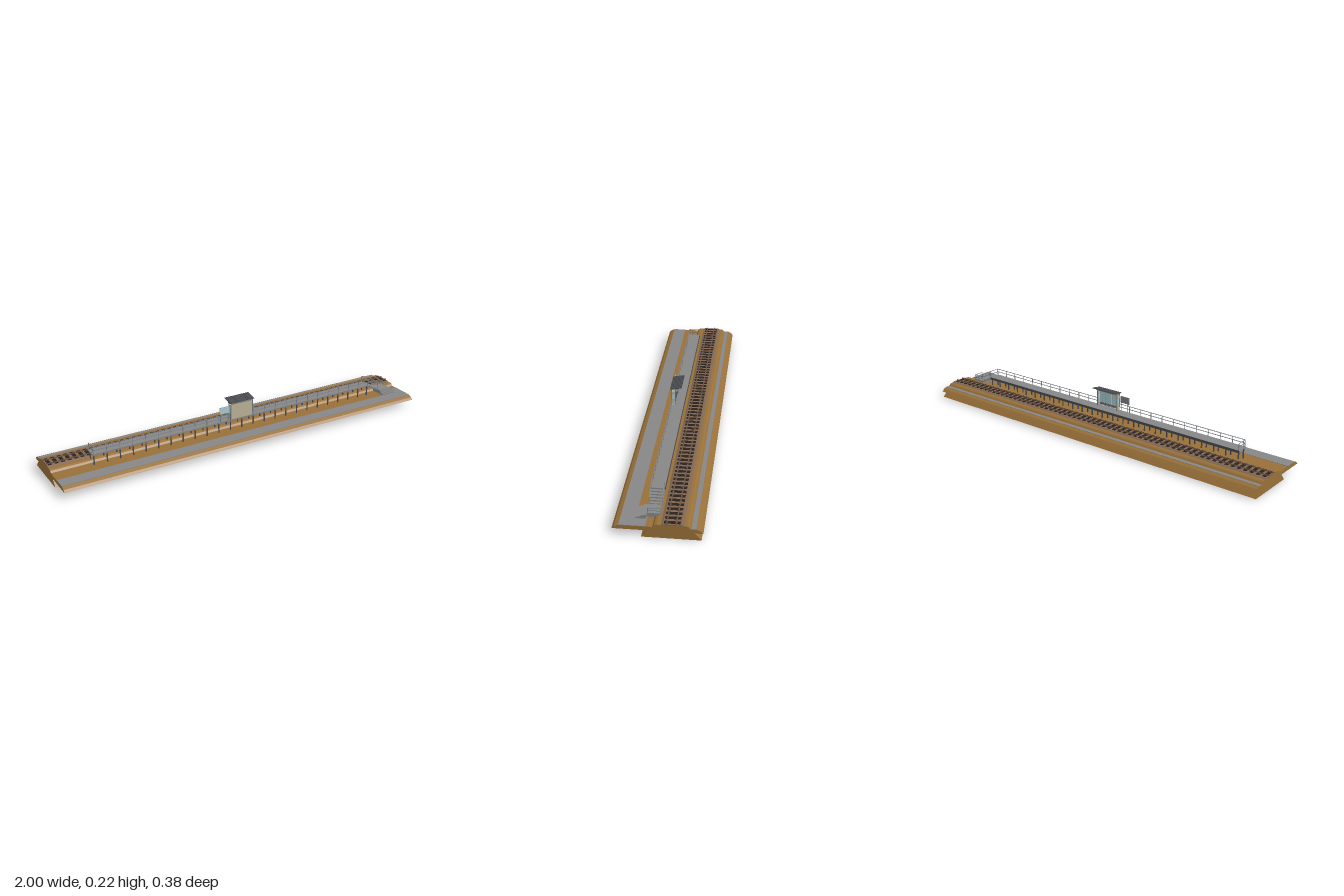
import * as THREE from 'three';
import { mergeGeometries } from 'three/addons/utils/BufferGeometryUtils.js';

const mat = (name, color, side = THREE.FrontSide) => {
  const m = new THREE.MeshStandardMaterial({ color, side });
  m.name = name;
  return m;
};

// Box given by its min/max on each axis
const box = (x0, x1, y0, y1, z0, z1) =>
  new THREE.BoxGeometry(x1 - x0, y1 - y0, z1 - z0)
    .translate((x0 + x1) / 2, (y0 + y1) / 2, (z0 + z1) / 2);

// Square bar between two points
function bar(a, b, t) {
  const p = new THREE.Vector3(...a), q = new THREE.Vector3(...b);
  const d = q.clone().sub(p);
  const g = new THREE.BoxGeometry(t, d.length(), t);
  g.applyQuaternion(new THREE.Quaternion().setFromUnitVectors(new THREE.Vector3(0, 1, 0), d.normalize()));
  return g.translate((p.x + q.x) / 2, (p.y + q.y) / 2, (p.z + q.z) / 2);
}

// Cross-section of [z, y] points drawn out along x
function section(points, length) {
  const s = new THREE.Shape(points.map(([z, y]) => new THREE.Vector2(z, y)));
  return new THREE.ExtrudeGeometry(s, { depth: length, bevelEnabled: false })
    .translate(0, 0, -length / 2).rotateY(-Math.PI / 2);
}

export function createModel() {
  const model = new THREE.Group();
  model.name = 'railwayHalt';
  const earth = mat('earth', 0x987039);
  const paving = mat('paving', 0x868686);
  const ballast = mat('ballast', 0x80664f);
  const timber = mat('sleeperTimber', 0x2b211c);
  const rust = mat('railSteel', 0x6b5546);
  const steel = mat('galvanisedSteel', 0x7c8288);
  const dark = mat('darkMetal', 0x4a4c50);
  const glass = mat('paleBluePanel', 0xa8cad0);
  const beige = mat('beigePanel', 0xbab094);

  const add = (name, geos, material) => {
    const list = [].concat(geos).map(g => g.index ? g.toNonIndexed() : g);
    const mesh = new THREE.Mesh(list.length > 1 ? mergeGeometries(list) : list[0], material);
    mesh.name = name;
    model.add(mesh);
  };

  // Embankment with shoulders and a narrower foot
  add('embankment', section([
    [0.069, 0], [0.04, 0.034], [0.193, 0.034], [0.183, 0.045], [0.165, 0.053], [0.021, 0.053],
    [0.014, 0.062], [0.004, 0.066], [-0.126, 0.066], [-0.133, 0.062], [-0.14, 0.053],
    [-0.165, 0.053], [-0.181, 0.046], [-0.192, 0.034], [-0.155, 0.034], [-0.185, 0],
  ], 2), earth);

  // Road, rear path and the pad by the steps
  add('road', box(-1, 1, 0.051, 0.0545, 0.098, 0.164), paving);
  add('rearPath', box(-1, 1, 0.051, 0.0545, -0.163, -0.142), paving);
  add('stepPad', box(0.865, 1, 0.051, 0.0545, 0.05, 0.098), paving);

  // Track
  add('ballastBed', section([[-0.013, 0.065], [-0.024, 0.07], [-0.104, 0.07], [-0.115, 0.065]], 2), ballast);
  const sleepers = [], rails = [];
  const n = 62;
  for (let i = 0; i < n; i++) {
    const x = -1 + (i + 0.5) * 2 / n;
    sleepers.push(box(x - 0.0085, x + 0.0085, 0.066, 0.0715, -0.096, -0.027));
  }
  for (const z of [-0.039, -0.079]) {
    rails.push(box(-1, 1, 0.0715, 0.0725, z - 0.003, z + 0.003));
    rails.push(box(-1, 1, 0.0725, 0.0755, z - 0.0012, z + 0.0012));
  }
  add('sleepers', sleepers, timber);
  add('rails', rails, rust);

  // Raised deck on steel legs
  add('platformDeck', box(-0.805, 0.8, 0.107, 0.112, -0.007, 0.053), paving);
  const legs = [], beams = [];
  const bays = 24, pitch = 1.6 / bays;
  for (let i = 0; i <= bays; i++) {
    const x = -0.8 + i * pitch + (i === bays ? -0.003 : 0.003);
    legs.push(bar([x, 0.05, 0.046], [x, 0.107, 0.046], 0.005));
    legs.push(bar([x, 0.05, 0.002], [x, 0.107, 0.002], 0.005));
    beams.push(box(x - 0.002, x + 0.002, 0.102, 0.107, -0.004, 0.05));
  }
  for (const z of [0.046, 0.002]) beams.push(box(-0.803, 0.8, 0.103, 0.107, z - 0.002, z + 0.002));
  add('platformLegs', legs, dark);
  add('deckBeams', beams, steel);
  add('edgeStrip', box(-0.805, 0.8, 0.1, 0.1125, -0.009, -0.007), dark);

  // Railing along the outer edge and across the closed end
  const railing = [], T = 0.0024, zr = 0.051;
  for (let i = 0; i <= bays; i++) {
    const x = -0.8 + i * pitch;
    railing.push(bar([x, 0.1, zr], [x, 0.147, zr], T));
  }
  for (const y of [0.13, 0.146]) {
    railing.push(bar([-0.8, y, zr], [0.8, y, zr], T));
    railing.push(bar([-0.8, y, -0.004], [-0.8, y, zr], T));
  }
  for (const z of [-0.004, 0.035]) railing.push(bar([-0.8, 0.11, z], [-0.8, 0.147, z], T));

  // Handrails down the stairs and round the landing
  for (const z of [zr, -0.004]) {
    for (const dy of [0, -0.016]) railing.push(bar([0.8, 0.146 + dy, z], [0.87, 0.113 + dy, z], T));
    railing.push(bar([0.8, 0.108, z], [0.8, 0.147, z], T));
    railing.push(bar([0.87, 0.072, z], [0.87, 0.113, z], T));
  }
  for (const y of [0.085, 0.097]) {
    railing.push(bar([0.87, y, -0.004], [0.93, y, -0.004], T));
    railing.push(bar([0.93, y, -0.004], [0.93, y, 0.05], T));
  }
  for (const [x, z] of [[0.9, -0.004], [0.93, -0.004], [0.93, 0.05]])
    railing.push(bar([x, 0.07, z], [x, 0.098, z], T));
  add('railings', railing, steel);

  // Stairs down from the deck, landing, and steps to the road
  const stairs = [];
  for (let i = 0; i < 5; i++) {
    const x = 0.8 + i * 0.0135, y = 0.106 - i * 0.0065;
    stairs.push(box(x, x + 0.0155, y - 0.002, y, -0.006, 0.052));
    stairs.push(box(x, x + 0.001, y - 0.001, y + 0.0055, -0.006, 0.052));
  }
  stairs.push(box(0.866, 0.932, 0.054, 0.0735, -0.006, 0.056));
  for (let i = 0; i < 4; i++)
    stairs.push(box(0.868, 0.948, 0.053, 0.0735 - i * 0.0045, 0.054, 0.069 + i * 0.0105));
  add('stairs', stairs, paving);
  add('stairStringers', [-0.005, 0.051].map(z => bar([0.798, 0.104, z], [0.868, 0.071, z], 0.004)), steel);

  // Shelter: outer wall, short side screens and frame
  const X0 = -0.065, X1 = 0.06;
  add('shelterBackWall', box(X0, X1, 0.114, 0.194, 0.05, 0.054), beige);
  add('shelterInnerPanels', [0, 1, 2].map(i => {
    const x = X0 + 0.004 + i * 0.0405;
    return box(x, x + 0.036, 0.118, 0.188, 0.0475, 0.0498);
  }), glass);
  const screens = [], notices = [], frame = [];
  for (const x of [X0, X1]) {
    screens.push(box(x - 0.0015, x + 0.0015, 0.114, 0.19, 0.035, 0.055));
    notices.push(box(x - 0.0025, x + 0.0025, 0.174, 0.188, 0.038, 0.05));
    notices.push(box(x - 0.0025, x + 0.0025, 0.118, 0.148, 0.038, 0.05));
    frame.push(bar([x, 0.11, 0.035], [x, 0.207, 0.035], 0.004));
    frame.push(bar([x, 0.11, 0.054], [x, 0.204, 0.054], 0.004));
    frame.push(bar([x, 0.203, 0.058], [x, 0.212, 0.005], 0.003));
    frame.push(bar([x, 0.192, 0.035], [x, 0.209, 0.02], 0.003));
  }
  for (const z of [0.035, 0.054]) frame.push(bar([X0, 0.196, z], [X1, 0.196, z], 0.004));
  add('shelterScreens', screens, glass);
  add('shelterNotices', notices, beige);
  add('shelterFrame', frame, steel);
  add('shelterBench', box(X0 + 0.01, X1 - 0.01, 0.126, 0.129, 0.035, 0.048), dark);

  // Sloping ribbed roof
  const roof = [section([[0.06, 0.202], [0.06, 0.205], [0.002, 0.2155], [0.002, 0.2125]].reverse(), 0.14)
    .translate(-0.003, 0, 0)];
  for (let i = 0; i < 12; i++) {
    const x = -0.07 + i * 0.0122;
    roof.push(bar([x, 0.205, 0.06], [x, 0.2155, 0.002], 0.0025));
  }
  add('shelterRoof', roof, dark);

  // Blank board beside the shelter
  add('boardFace', box(-0.129, -0.075, 0.156, 0.189, 0.053, 0.056), glass);
  add('boardBack', box(-0.13, -0.074, 0.155, 0.19, 0.051, 0.0535), steel);
  add('boardPosts', [-0.123, -0.081].map(x => bar([x, 0.11, 0.05], [x, 0.188, 0.05], 0.003)), steel);

  return model;
}
